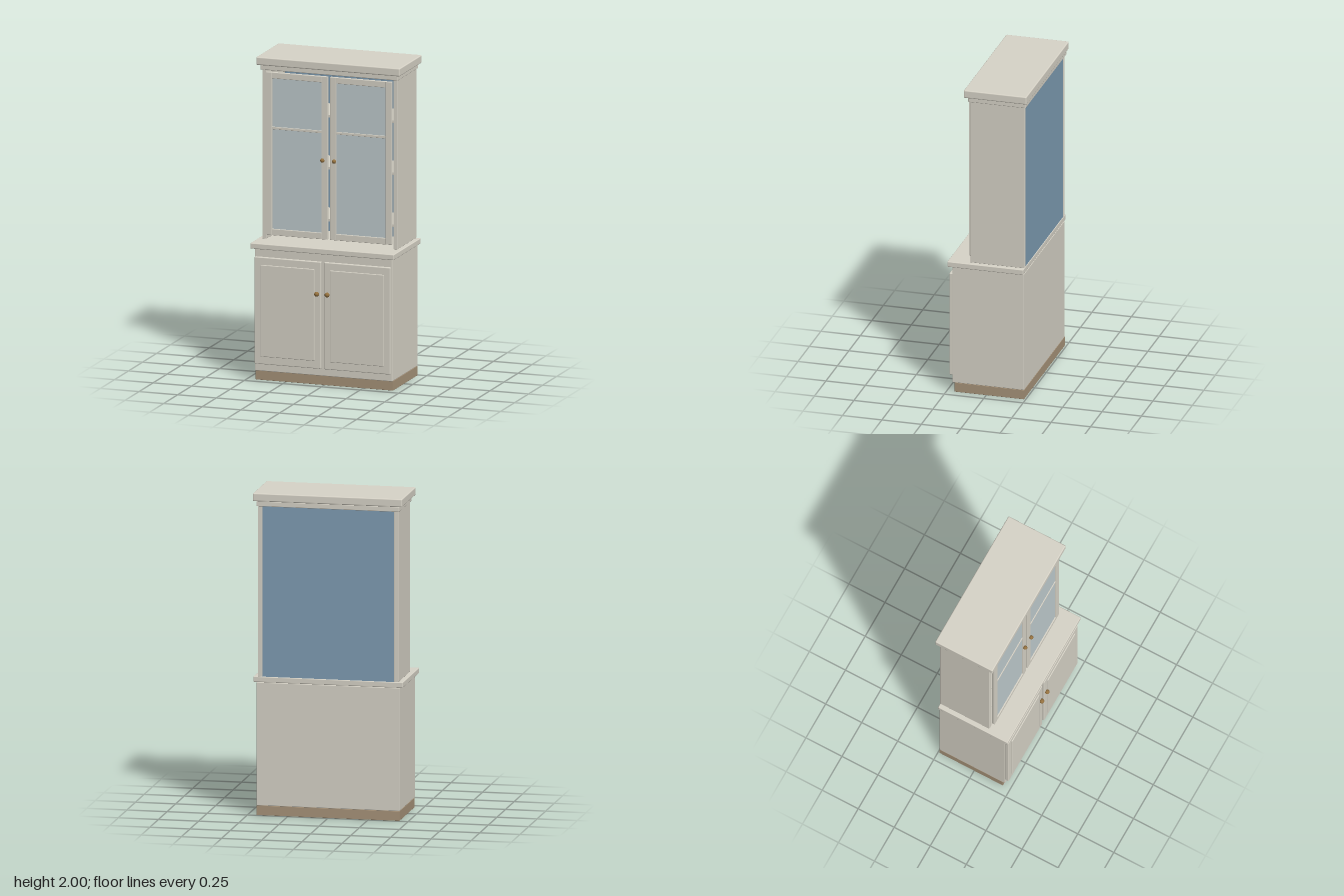
import * as THREE from 'three';
import { RoundedBoxGeometry } from 'three/addons/geometries/RoundedBoxGeometry.js';

const material = (color) => new THREE.MeshStandardMaterial({ color });

export function createModel() {
  const paint = material(0xd8d4c8);
  const plinthWood = material(0xa8947a);
  const backBlue = material(0x7f9db4);
  const glassTint = material(0xc0cccf);
  const brass = material(0x94713f);

  const cabinet = new THREE.Group();
  cabinet.name = 'displayCabinet';

  // Box given by its extents on each axis, with slightly eased edges
  function box(name, [x0, x1], [y0, y1], [z0, z1], mat = paint, ease = 0.004, parent = cabinet) {
    const w = x1 - x0, h = y1 - y0, d = z1 - z0;
    const geometry = ease > 0
      ? new RoundedBoxGeometry(w, h, d, 2, ease)
      : new THREE.BoxGeometry(w, h, d);
    const mesh = new THREE.Mesh(geometry, mat);
    mesh.position.set((x0 + x1) / 2, (y0 + y1) / 2, (z0 + z1) / 2);
    mesh.name = name;
    parent.add(mesh);
    return mesh;
  }

  // Extents mirrored to the chosen side
  const onSide = (s, a, b) => (s > 0 ? [a, b] : [-b, -a]);

  // Round knob on a short stem
  function knob(name, x, y, zBack, z, r, parent) {
    const group = new THREE.Group();
    group.name = name;
    const ball = new THREE.Mesh(new THREE.SphereGeometry(r, 20, 14), brass);
    ball.name = 'knobBall';
    ball.position.set(x, y, z);
    const stem = new THREE.Mesh(new THREE.CylinderGeometry(r * 0.4, r * 0.4, z - zBack, 12), brass);
    stem.name = 'knobStem';
    stem.rotation.x = Math.PI / 2;
    stem.position.set(x, y, (z + zBack) / 2);
    group.add(ball, stem);
    parent.add(group);
  }

  // Lower cupboard
  box('plinth', [-0.445, 0.445], [0, 0.06], [-0.24, 0.2], plinthWood, 0.002);
  box('lowerCase', [-0.445, 0.445], [0.06, 0.825], [-0.24, 0.215]);
  box('countertop', [-0.465, 0.465], [0.825, 0.86], [-0.24, 0.242], paint, 0.005);

  // Upper case: open front, inset back panel, shelves and stepped cornice
  box('backPanel', [-0.412, 0.412], [0.86, 1.92], [-0.237, -0.225], backBlue, 0);
  for (const y of [1.0, 1.325, 1.65]) {
    box('shelf', [-0.412, 0.412], [y - 0.009, y + 0.009], [-0.225, 0.07], paint, 0.002);
  }
  box('corniceMoulding', [-0.445, 0.445], [1.918, 1.95], [-0.25, 0.115]);
  box('corniceTop', [-0.465, 0.465], [1.95, 2], [-0.26, 0.138], paint, 0.007);

  for (const s of [-1, 1]) {
    const side = s > 0 ? 'left' : 'right';

    box(side + 'UpperSide', onSide(s, 0.41, 0.438), [0.86, 1.92], [-0.24, 0.102], paint, 0.003);

    // Panelled lower door
    const lowerDoor = new THREE.Group();
    lowerDoor.name = side + 'LowerDoor';
    cabinet.add(lowerDoor);
    box('doorSlab', onSide(s, 0.01, 0.44), [0.107, 0.775], [0.215, 0.236], paint, 0.005, lowerDoor);
    box('raisedPanel', onSide(s, 0.05, 0.4), [0.155, 0.728], [0.225, 0.241], paint, 0.004, lowerDoor);
    knob('lowerKnob', s * 0.034, 0.575, 0.236, 0.245, 0.015, lowerDoor);

    // Glazed upper door
    const upperDoor = new THREE.Group();
    upperDoor.name = side + 'GlassDoor';
    cabinet.add(upperDoor);
    const depth = [0.104, 0.122];
    box('outerStile', onSide(s, 0.368, 0.408), [0.89, 1.908], depth, paint, 0.003, upperDoor);
    box('innerStile', onSide(s, 0.008, 0.048), [0.89, 1.908], depth, paint, 0.003, upperDoor);
    box('topRail', onSide(s, 0.046, 0.37), [1.87, 1.908], depth, paint, 0.003, upperDoor);
    box('bottomRail', onSide(s, 0.046, 0.37), [0.89, 0.93], depth, paint, 0.003, upperDoor);
    box('glazingBar', onSide(s, 0.046, 0.37), [1.552, 1.568], [0.106, 0.12], paint, 0.002, upperDoor);
    box('glassPane', onSide(s, 0.046, 0.37), [0.928, 1.872], [0.11, 0.115], glassTint, 0, upperDoor);
    knob('upperKnob', s * 0.038, 1.385, 0.122, 0.132, 0.013, upperDoor);
  }

  return cabinet;
}
